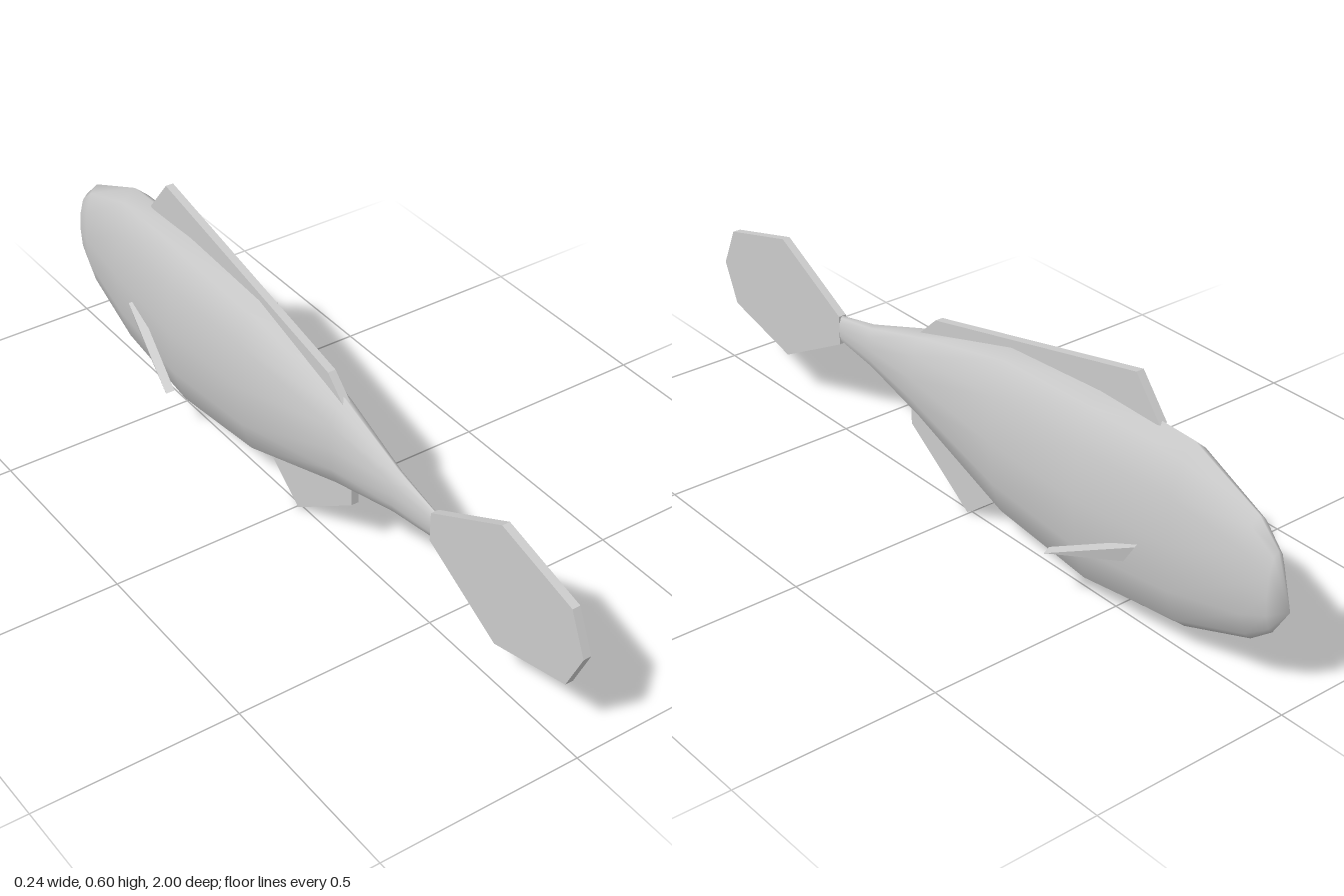
import * as THREE from 'three';
import { mergeVertices } from 'three/addons/utils/BufferGeometryUtils.js';
import { ConvexGeometry } from 'three/addons/geometries/ConvexGeometry.js';

const SIDES = 12;
const FIN_THICKNESS = 0.02;

// Body stations from nose to tail root: z, top y, bottom y, half width
const STATIONS = [
  [-1.0, 0.25, 0.25, 0],
  [-0.957, 0.374, 0.18, 0.025],
  [-0.9, 0.43, 0.134, 0.041],
  [-0.71, 0.513, 0.062, 0.068],
  [-0.44, 0.521, 0.028, 0.083],
  [-0.15, 0.504, 0.06, 0.075],
  [0.17, 0.412, 0.172, 0.043],
  [0.37, 0.343, 0.224, 0.02],
  [0.5, 0.315, 0.243, 0.01],
];

// Smooth body lofted through elliptical rings
function bodyGeometry() {
  const positions = [];
  const index = [];
  STATIONS.forEach(([z, top, bottom, halfWidth], r) => {
    for (let i = 0; i < SIDES; i++) {
      const a = (i / SIDES) * Math.PI * 2;
      positions.push(
        halfWidth * Math.cos(a),
        (top + bottom) / 2 + ((top - bottom) / 2) * Math.sin(a),
        z
      );
      if (r === STATIONS.length - 1) continue;
      const p = r * SIDES + i;
      const q = r * SIDES + ((i + 1) % SIDES);
      if (r > 0) index.push(p, q, p + SIDES);
      index.push(q, q + SIDES, p + SIDES);
    }
  });
  let geometry = new THREE.BufferGeometry();
  geometry.setAttribute('position', new THREE.Float32BufferAttribute(positions, 3));
  geometry.setIndex(index);
  geometry = mergeVertices(geometry);
  geometry.computeVertexNormals();
  return geometry;
}

// Flat upright fin from a [z, y] outline, centred on x = 0
function finGeometry(outline) {
  const shape = new THREE.Shape(outline.map(([z, y]) => new THREE.Vector2(z, y)));
  const geometry = new THREE.ExtrudeGeometry(shape, { depth: FIN_THICKNESS, bevelEnabled: false });
  geometry.translate(0, 0, -FIN_THICKNESS / 2);
  geometry.rotateY(-Math.PI / 2);
  return geometry;
}

// Slanted side fin, a thin triangular slab
function sideFinGeometry(side) {
  const outer = [[0.078, 0.25, -0.632], [0.076, 0.197, -0.597], [0.121, 0.134, -0.396]];
  const points = [];
  for (const [x, y, z] of outer) {
    points.push(new THREE.Vector3(side * x, y, z));
    points.push(new THREE.Vector3(side * (x - 0.02), y + 0.005, z + 0.006));
  }
  return new ConvexGeometry(points);
}

export function createModel() {
  const group = new THREE.Group();
  const grey = new THREE.MeshStandardMaterial({ color: 0xcccccc });
  grey.name = 'grey';

  const add = (name, geometry) => {
    const mesh = new THREE.Mesh(geometry, grey);
    mesh.name = name;
    group.add(mesh);
    return mesh;
  };

  add('body', bodyGeometry());

  // Cap closing the narrow end of the body
  const [z, top, bottom, halfWidth] = STATIONS[STATIONS.length - 1];
  const cap = new THREE.CircleGeometry(1, SIDES);
  cap.scale(halfWidth, (top - bottom) / 2, 1);
  cap.translate(0, (top + bottom) / 2, z);
  add('bodyEnd', cap);

  add('tailFin', finGeometry([
    [0.5, 0.24], [0.73, 0.117], [0.955, 0.176], [1.0, 0.277],
    [0.955, 0.378], [0.73, 0.438], [0.5, 0.315],
  ]));
  add('dorsalFin', finGeometry([
    [0.18, 0.4], [0.12, 0.456], [-0.545, 0.603], [-0.62, 0.51], [-0.4, 0.46], [-0.1, 0.45],
  ]));
  add('analFin', finGeometry([
    [0.215, 0.19], [0.215, 0.146], [0.005, 0], [-0.1, 0.08], [0, 0.16],
  ]));
  add('leftSideFin', sideFinGeometry(1));
  add('rightSideFin', sideFinGeometry(-1));

  return group;
}
